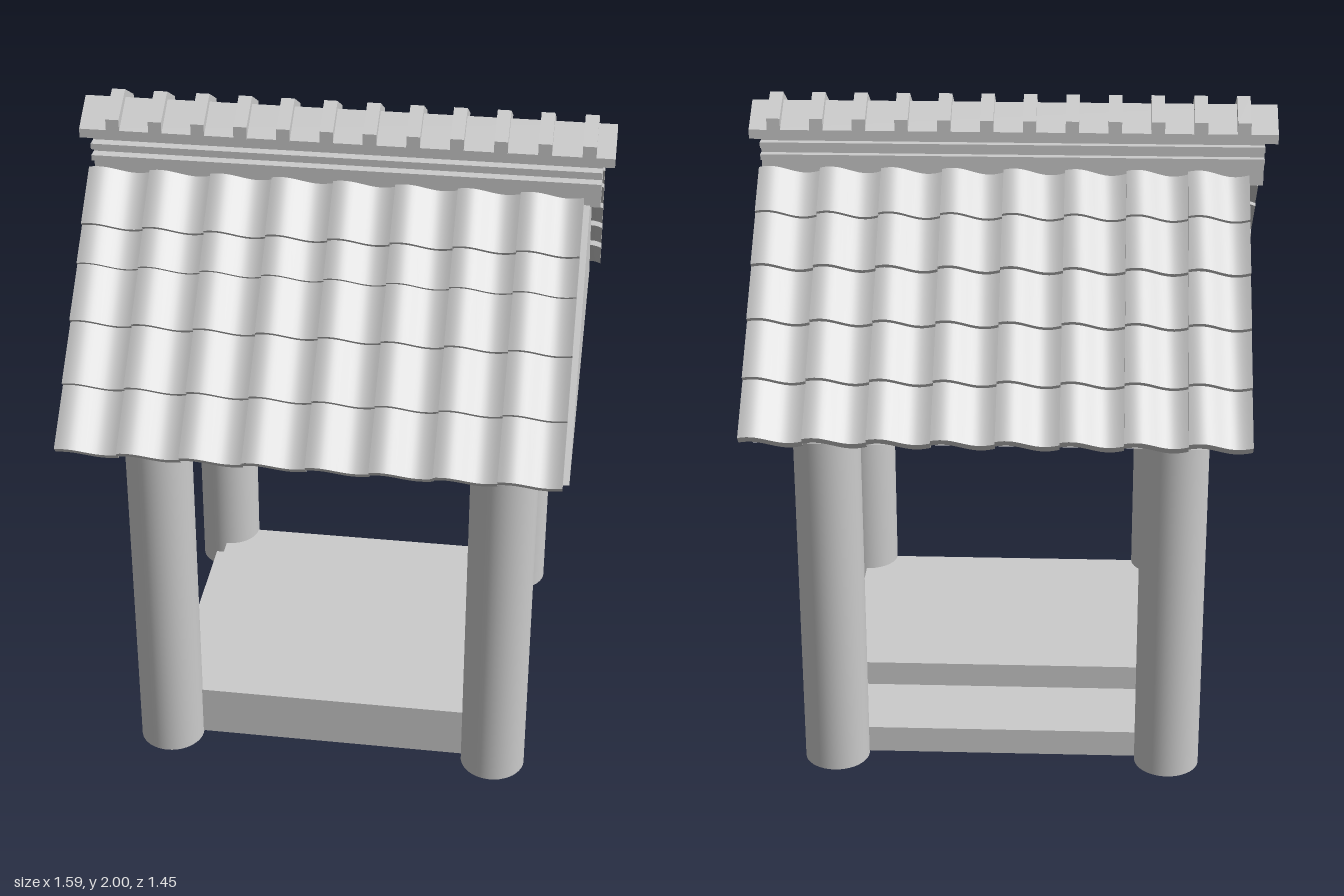
import * as THREE from 'three';
import { toCreasedNormals } from 'three/addons/utils/BufferGeometryUtils.js';

const material = new THREE.MeshStandardMaterial({ color: 0xcccccc });

function addMesh(parent, name, geometry, x = 0, y = 0, z = 0) {
  const mesh = new THREE.Mesh(geometry, material);
  mesh.name = name;
  mesh.position.set(x, y, z);
  parent.add(mesh);
  return mesh;
}

// Solid with a [z, y] outline, running along x from x0 to x1
function prism(profile, x0, x1) {
  const shape = new THREE.Shape(profile.map(([z, y]) => new THREE.Vector2(-z, y)));
  return new THREE.ExtrudeGeometry(shape, { depth: x1 - x0, bevelEnabled: false })
    .rotateY(Math.PI / 2)
    .translate(x0, 0, 0);
}

function box(parent, name, x0, x1, y0, y1, z0, z1) {
  return addMesh(parent, name, new THREE.BoxGeometry(x1 - x0, y1 - y0, z1 - z0),
    (x0 + x1) / 2, (y0 + y1) / 2, (z0 + z1) / 2);
}

// One S-curved roof tile: wavy section in x/y, running down the slope along z
function tileGeometry(width, length) {
  const amplitude = 0.018, thickness = 0.03, steps = 14;
  const top = [], bottom = [];
  for (let i = 0; i <= steps; i++) {
    const u = i / steps;
    const y = amplitude * (1 + Math.sin(2 * Math.PI * (u * 0.85 + 0.1)));
    bottom.push(new THREE.Vector2(u * width, y));
    top.unshift(new THREE.Vector2(u * width, y + thickness));
  }
  const geometry = new THREE.ExtrudeGeometry(new THREE.Shape([...bottom, ...top]),
    { depth: length, bevelEnabled: false });
  return toCreasedNormals(geometry, 0.7);
}

// Rows of overlapping tiles on one slope; rows are distances up from the eave
function tiledSlope(name, { xStart, eaveZ, eaveY, run, rise, rows }) {
  const slope = new THREE.Group();
  slope.name = name;
  const angle = Math.atan2(rise, run), tilt = 0.09;
  const width = 0.184, overlap = 0.02;
  for (let r = 0; r < rows.length - 1; r++) {
    const last = r === rows.length - 2;
    const upper = rows[r + 1] + (last ? 0 : overlap);
    const geometry = tileGeometry(width, upper - rows[r]);
    const sink = -0.014;
    for (let c = 0; c < 8; c++) {
      const tile = addMesh(slope, 'roofTile', geometry,
        xStart + c * width,
        eaveY + Math.sin(angle) * upper + Math.cos(angle) * sink,
        eaveZ - Math.cos(angle) * upper + Math.sin(angle) * sink);
      tile.rotation.x = angle - tilt;
    }
  }
  return slope;
}

export function createModel() {
  const model = new THREE.Group();
  model.name = 'pavilion';

  // Four round columns
  const column = new THREE.CylinderGeometry(0.1, 0.1, 1.14, 40);
  for (const x of [-0.5, 0.533])
    for (const z of [-0.497, 0.535]) addMesh(model, 'column', column, x, 0.57, z);

  // Floor with a lower step at the back
  addMesh(model, 'steppedFloor', prism([
    [0.535, 0.01], [0.535, 0.175], [-0.23, 0.175], [-0.23, 0.095], [-0.497, 0.095], [-0.497, 0.01],
  ], -0.5, 0.533));

  // Ceiling panel and gabled roof body
  box(model, 'ceilingPanel', -0.385, 0.425, 1.01, 1.15, -0.33, 0.355);
  addMesh(model, 'roofBody', prism([
    [0.67, 1.14], [0.11, 1.755], [-0.08, 1.755], [-0.665, 1.14],
  ], -0.7, 0.725));

  // Tiles; the back slope is turned half round
  model.add(tiledSlope('frontTiles', {
    xStart: -0.765, eaveZ: 0.68, eaveY: 1.12, run: 0.57, rise: 0.645,
    rows: [0, 0.195, 0.385, 0.56, 0.68, 0.861],
  }));
  const backTiles = tiledSlope('backTiles', {
    xStart: -0.76, eaveZ: 0.68, eaveY: 1.13, run: 0.6, rise: 0.635,
    rows: [0, 0.185, 0.37, 0.545, 0.72, 0.874],
  });
  backTiles.rotation.y = Math.PI;
  model.add(backTiles);

  // Ridge wall with two thin projecting bands
  box(model, 'ridgeWall', -0.755, 0.755, 1.75, 1.89, -0.08, 0.11);
  for (const y of [1.82, 1.857]) box(model, 'ridgeBand', -0.755, 0.755, y, y + 0.018, -0.105, 0.143);

  // Peaked ridge cap
  const front = 0.114, back = -0.084, middle = 0.015;
  addMesh(model, 'ridgeCap', prism([
    [front, 1.88], [front, 1.908], [middle, 1.975], [back, 1.908], [back, 1.88],
  ], -0.795, 0.79));

  // Raised ribs across the cap
  const rib = prism([
    [front + 0.002, 1.905], [front + 0.002, 1.943], [middle, 2],
    [back - 0.002, 1.943], [back - 0.002, 1.905], [middle, 1.968],
  ], -0.02, 0.02);
  for (let i = 0; i < 12; i++) addMesh(model, 'ridgeRib', rib, -0.693 + i * 0.128);

  return model;
}
